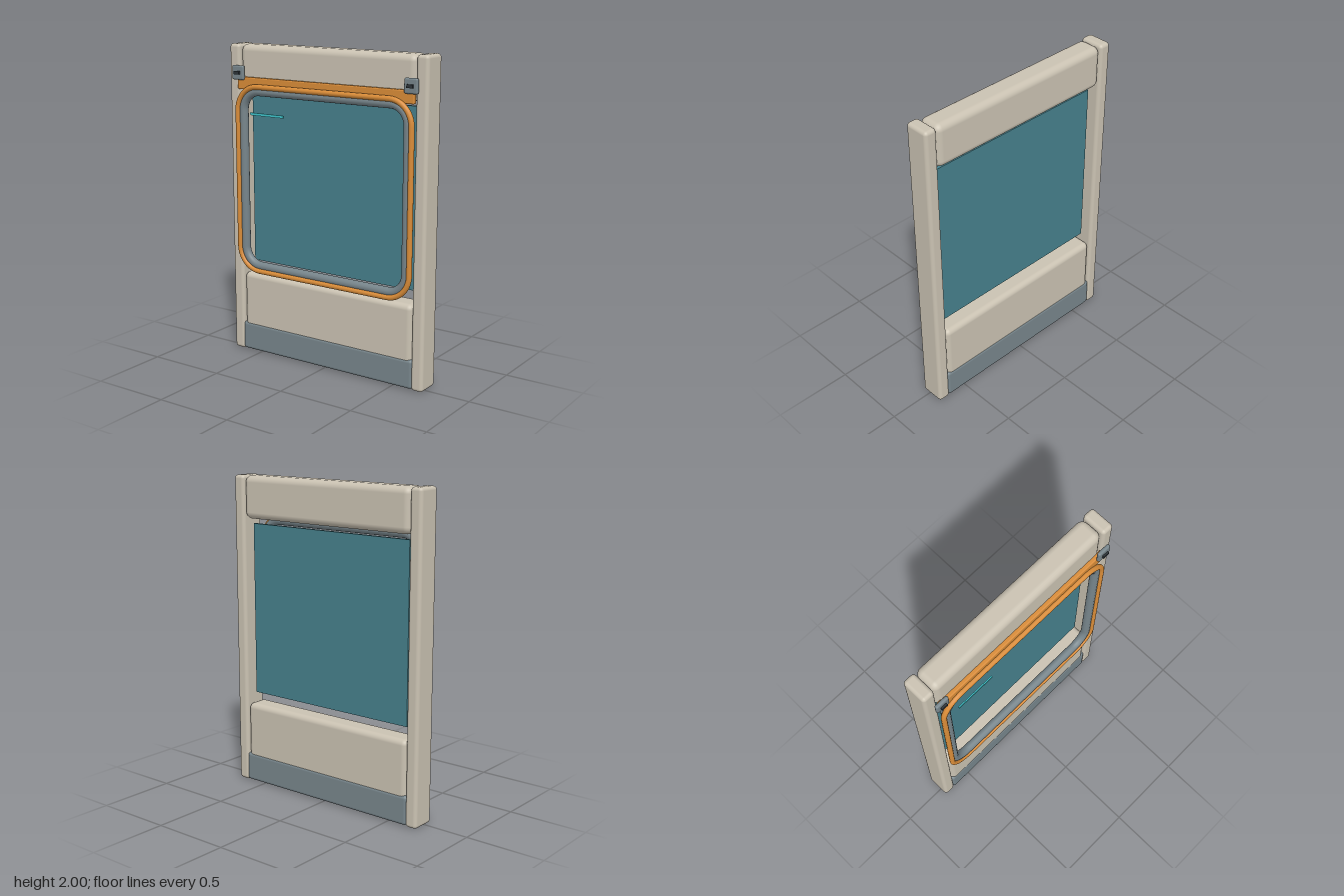
import * as THREE from 'three';
import { RoundedBoxGeometry } from 'three/addons/geometries/RoundedBoxGeometry.js';

const mat = (color) => new THREE.MeshStandardMaterial({ color });

// Closed rounded-rectangle path in the XY plane
class RoundedLoop extends THREE.Curve {
  constructor(halfW, halfH, r) {
    super();
    const w = halfW - r, h = halfH - r, q = Math.PI / 2;
    this.outline = new THREE.Shape();
    this.outline.moveTo(0, -halfH);
    [[w, -h], [w, h], [-w, h], [-w, -h]].forEach(([x, y], i) =>
      this.outline.absarc(x, y, r, (i - 1) * q, i * q, false));
    this.outline.closePath();
  }
  getPoint(t, target = new THREE.Vector3()) {
    const p = this.outline.getPoint(Math.min(t, 1));
    return target.set(p.x, p.y, 0);
  }
}

export function createModel() {
  const model = new THREE.Group();
  model.name = 'windowPanel';
  const beige = mat(0xcac2b2), slate = mat(0x77858b), orange = mat(0xd98c38);
  const teal = mat(0x46808c), cyan = mat(0x3fc4cc), dark = mat(0x2c3338);

  const add = (name, geometry, material, x, y, z, parent = model) => {
    const mesh = new THREE.Mesh(geometry, material);
    mesh.name = name;
    mesh.position.set(x, y, z);
    parent.add(mesh);
    return mesh;
  };
  // Rounded box given by its lower and upper bounds in y and z
  const block = (name, width, y0, y1, z0, z1, radius, material, x = 0, parent = model) =>
    add(name, new RoundedBoxGeometry(width, y1 - y0, z1 - z0, 3, radius), material,
      x, (y0 + y1) / 2, (z0 + z1) / 2, parent);

  // Wall frame
  block('topBeam', 1.265, 1.73, 2, -0.105, 0.05, 0.042, beige);
  block('lowerPanel', 1.26, 0.15, 0.53, -0.1, 0.05, 0.035, beige);
  block('kickPanel', 1.28, 0.005, 0.19, -0.105, 0.055, 0.02, slate);

  // Glass pane and the thin glint in front of it
  add('glass', new THREE.BoxGeometry(1.2, 1.1, 0.02), teal, 0, 1.148, -0.04);
  add('glint', new THREE.BoxGeometry(0.255, 0.016, 0.008), cyan, -0.395, 1.577, 0.09);

  // Window surround: orange trim around a slate seal
  const ring = (name, halfW, halfH, corner, tube, z, material) =>
    add(name, new THREE.TubeGeometry(new RoundedLoop(halfW, halfH, corner), 240, tube, 14, true),
      material, 0, 1.155, z);
  ring('windowTrim', 0.628, 0.59, 0.152, 0.017, 0.082, orange);
  ring('windowSeal', 0.596, 0.56, 0.12, 0.028, 0.062, slate);

  // Header strip above the window
  block('headerStrip', 1.27, 1.722, 1.8, 0.045, 0.075, 0.008, orange);

  // Mirrored posts and latches
  for (const [label, side] of [['left', 1], ['right', -1]]) {
    block(label + 'Post', 0.08, 0, 2, -0.105, 0.055, 0.022, beige, side * 0.673);

    const latch = new THREE.Group();
    latch.name = label + 'Latch';
    model.add(latch);
    block('latchPlate', 0.09, 1.781, 1.871, 0.068, 0.092, 0.011, slate, side * 0.621, latch);
    add('latchSlot', new THREE.BoxGeometry(0.04, 0.02, 0.02), dark, side * 0.621, 1.826, 0.094, latch);
  }
  return model;
}
